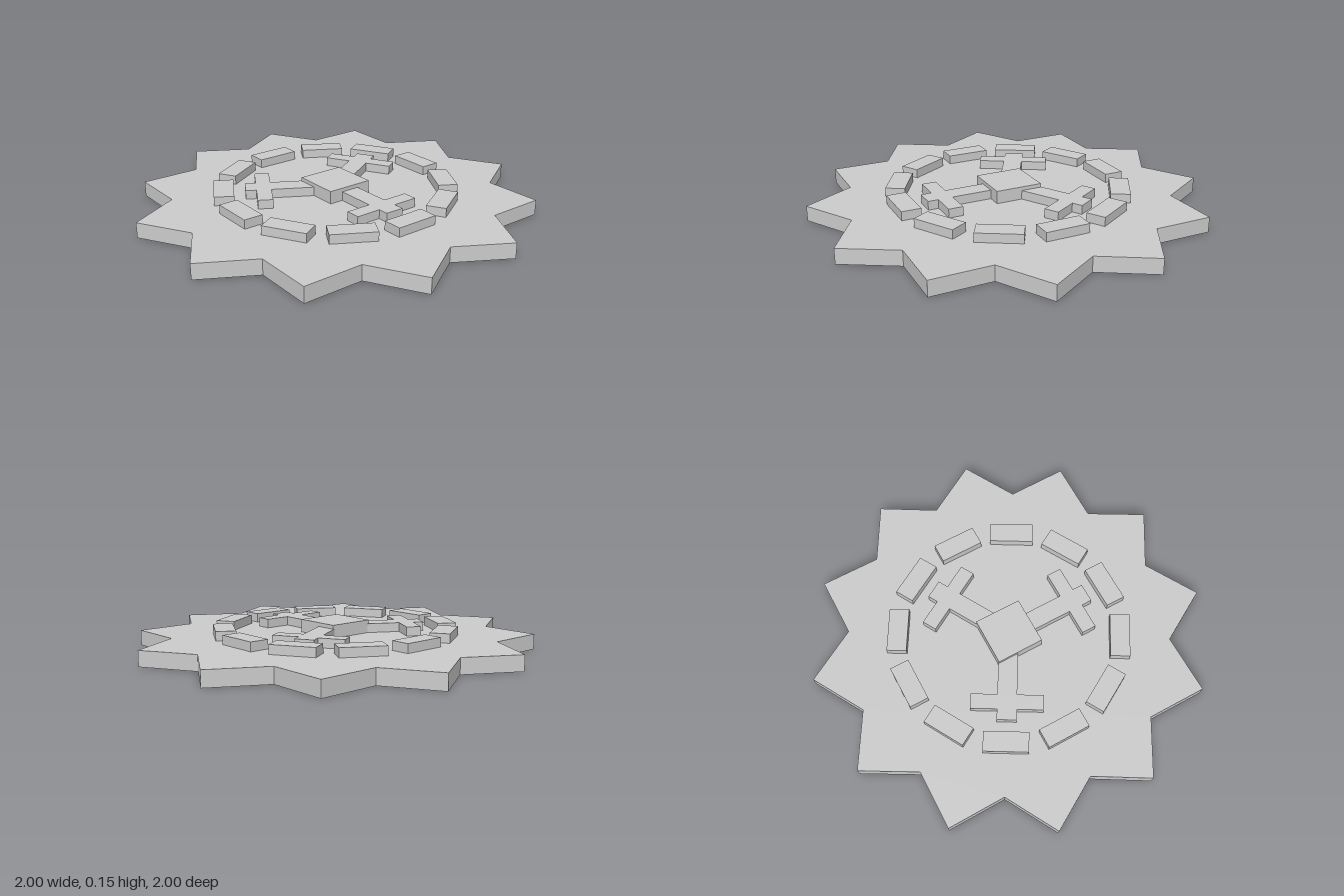
import * as THREE from 'three';

const BASE_TOP = 0.08, RELIEF_TOP = 0.127, BOSS_TOP = 0.147;

// Extrude a plan outline upward from y0 to y1 (plan y points to -z)
function slab(points, y0, y1) {
  const shape = new THREE.Shape(points.map(([x, y]) => new THREE.Vector2(x, y)));
  const geometry = new THREE.ExtrudeGeometry(shape, { depth: y1 - y0, bevelEnabled: false });
  return geometry.rotateX(-Math.PI / 2).translate(0, y0, 0);
}

export function createModel() {
  const model = new THREE.Group();
  model.name = 'starMedallion';
  const stone = new THREE.MeshStandardMaterial({ color: 0xcccccc });
  stone.name = 'light grey';

  const add = (name, geometry, turn = 0) => {
    const mesh = new THREE.Mesh(geometry, stone);
    mesh.name = name;
    mesh.rotation.y = turn;
    model.add(mesh);
  };

  // Twelve-pointed star base
  const star = [];
  for (let i = 0; i < 24; i++) {
    const r = i % 2 ? 1.0353 : 0.843;
    const a = (i * Math.PI) / 12;
    star.push([r * Math.cos(a), r * Math.sin(a)]);
  }
  add('starBase', slab(star, 0, BASE_TOP));

  // Ring of twelve raised blocks
  const h = RELIEF_TOP - BASE_TOP;
  const block = new THREE.BoxGeometry(0.23, h, 0.102).translate(0, BASE_TOP + h / 2, 0.577);
  for (let i = 0; i < 12; i++) add('ringBlock' + (i + 1), block, (i * Math.PI) / 6);

  // Three arms, each ending in a cross
  const half = [[0.05, 0], [0.05, 0.335], [0.185, 0.335], [0.185, 0.412], [0.05, 0.412], [0.05, 0.467]];
  const outline = [...half, ...half.map(([x, y]) => [-x, y]).reverse()];
  const arm = slab(outline, BASE_TOP, RELIEF_TOP);
  for (let i = 0; i < 3; i++) add('crossArm' + (i + 1), arm, Math.PI + (i * 2 * Math.PI) / 3);

  // Square boss in the middle
  const b = BOSS_TOP - BASE_TOP;
  add('centreBoss', new THREE.BoxGeometry(0.25, b, 0.25).translate(0, BASE_TOP + b / 2, 0));

  return model;
}
